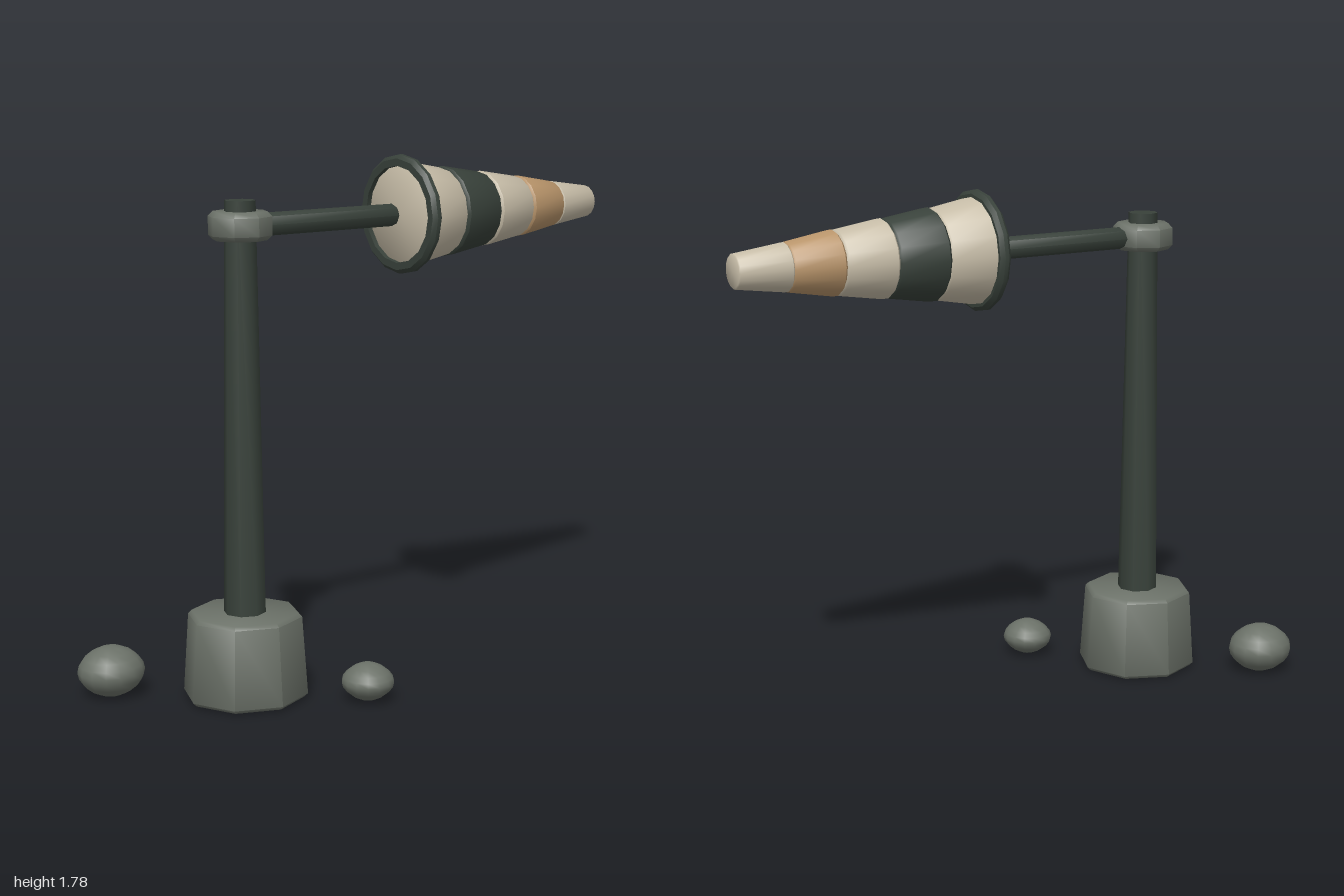
import * as THREE from 'three';
import { toCreasedNormals } from 'three/addons/utils/BufferGeometryUtils.js';

const mat = (name, color) => {
  const m = new THREE.MeshStandardMaterial({ color });
  m.name = name;
  return m;
};

// Turned part from [radius, height] pairs, listed bottom to top
function turned(points, sides, crease = 0.85) {
  const g = new THREE.LatheGeometry(points.map(([r, y]) => new THREE.Vector2(r, y)), sides);
  return toCreasedNormals(g, crease);
}

// Solid frustum with small bevels at both ends
const frustum = (r0, r1, y0, y1, b, sides) => turned([
  [0, y0], [r0 - b, y0], [r0, y0 + b], [r1, y1 - b], [r1 - b, y1], [0, y1],
], sides);

export function createModel() {
  const dark = mat('dark metal', 0x38413a);
  const stone = mat('grey stone', 0x6b7168);
  const cream = mat('cream cloth', 0xc6bca7);
  const tan = mat('tan cloth', 0xb8946a);

  const model = new THREE.Group();
  model.name = 'windsock';
  const POLE_X = -0.54, Z = 0.004, ARM_Y = 1.577;

  const add = (name, geometry, material, x, y, z, parent = model) => {
    const mesh = new THREE.Mesh(geometry, material);
    mesh.name = name;
    mesh.position.set(x, y, z);
    parent.add(mesh);
    return mesh;
  };

  // Footing, tapered pole and collar
  add('footing', frustum(0.21, 0.192, 0.01, 0.298, 0.012, 8), stone, POLE_X, 0, Z);
  add('pole', turned([[0, 0.25], [0.071, 0.25], [0.051, 1.66], [0, 1.66]], 8), dark, POLE_X, 0, Z);
  add('collar', frustum(0.105, 0.105, 1.533, 1.625, 0.016, 8), stone, POLE_X, 0, Z);

  // Horizontal arm
  const along = (g) => g.rotateZ(-Math.PI / 2);
  add('arm', along(frustum(0.038, 0.038, -0.5, 0.098, 0.012, 8)), dark, 0, ARM_Y, Z);

  // Sock: mouth ring and five tapering bands
  const sock = new THREE.Group();
  sock.name = 'sock';
  sock.position.set(0, ARM_Y, Z);
  model.add(sock);
  const ring = turned([
    [0.165, 0.107], [0.19, 0.107], [0.203, 0.12], [0.203, 0.134],
    [0.19, 0.147], [0.165, 0.147], [0.165, 0.107],
  ], 16, 0.6);
  add('mouthRing', along(ring), dark, 0, 0, 0, sock);

  const bands = [
    [0.181, 0.152, 0.125, 0.305, cream],
    [0.156, 0.131, 0.3, 0.48, dark],
    [0.132, 0.107, 0.474, 0.655, cream],
    [0.108, 0.081, 0.649, 0.828, tan],
    [0.08, 0.057, 0.822, 1.0, cream],
  ];
  bands.forEach(([r0, r1, x0, x1, m], i) => {
    const b = i === 4 ? 0.004 : 0.01;
    add(`sockBand${i + 1}`, along(frustum(r0, r1, x0, x1, b, 16)), m, 0, 0, 0, sock);
  });

  // Squashed rocks, thinned towards their rims
  const rock = (name, x, y, z, rx, ry, rz, pinch) => {
    const g = new THREE.SphereGeometry(1, 14, 10);
    const p = g.attributes.position;
    for (let i = 0; i < p.count; i++) {
      const rim = Math.hypot(p.getX(i), p.getZ(i));
      p.setY(i, p.getY(i) * (1 - pinch * rim * rim));
    }
    g.scale(rx, ry, rz);
    g.computeVertexNormals();
    add(name, toCreasedNormals(g, 1.2), stone, x, y, z);
  };
  rock('largeRock', -0.885, 0.09, -0.285, 0.115, 0.086, 0.107, 0.12);
  rock('smallRock', -0.25, 0.072, 0.295, 0.088, 0.064, 0.09, 0.22);

  return model;
}
